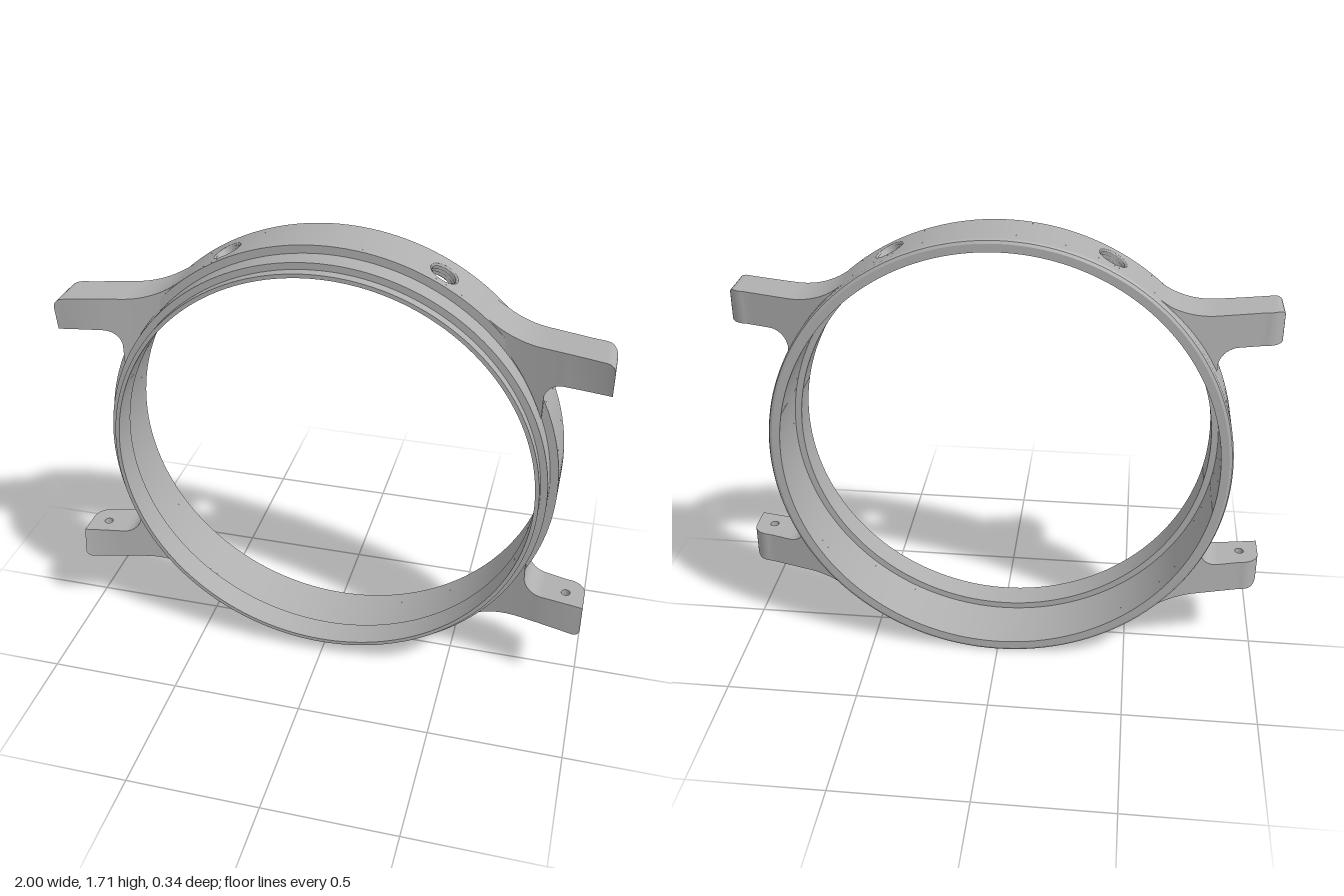
import * as THREE from 'three';
import { mergeGeometries } from 'three/addons/utils/BufferGeometryUtils.js';

const CENTRE_Y = 0.855;
const R_OUT = 0.855, R_IN = 0.81;          // walls of the main band
const HOLE = { angle: 0.474, z: -0.04, r: 0.055, halfZ: 0.07, halfAngle: 0.085 };

// Smooth surface from a rule fn(i, j) -> [x, y, z]
function grid(nu, nv, fn) {
  const pos = [], index = [];
  for (let i = 0; i <= nu; i++) for (let j = 0; j <= nv; j++) pos.push(...fn(i, j));
  for (let i = 0; i < nu; i++) for (let j = 0; j < nv; j++) {
    const a = i * (nv + 1) + j, b = a + nv + 1;
    index.push(a, b, a + 1, b, b + 1, a + 1);
  }
  const g = new THREE.BufferGeometry();
  g.setAttribute('position', new THREE.Float32BufferAttribute(pos, 3));
  g.setIndex(index);
  g.computeVertexNormals();
  return g;
}

function merge(list) {
  list.forEach(g => g.deleteAttribute('uv'));
  return mergeGeometries(list);
}

// Turned ring around z, with a sharp edge at every profile point
function turned(profile, start = 0, length = Math.PI * 2) {
  const parts = [];
  const segments = Math.max(8, Math.round(160 * length / (Math.PI * 2)));
  for (let i = 0; i + 1 < profile.length; i++) {
    const pts = [profile[i], profile[i + 1]].map(p => new THREE.Vector2(...p));
    parts.push(new THREE.LatheGeometry(pts, segments, start, length).rotateX(Math.PI / 2));
  }
  return merge(parts);
}

// Band wall around a screw hole: blends a circle into the patch border
function holePatch(phi, R, dir) {
  const n = 48;
  return grid(n, 3, (i, j) => {
    const th = dir * (i / n) * Math.PI * 2, c = Math.cos(th), s = Math.sin(th);
    const m = Math.max(Math.abs(c), Math.abs(s)), t = j / 3;
    const a = phi + THREE.MathUtils.lerp(Math.asin(HOLE.r * c / R), HOLE.halfAngle * c / m, t);
    const z = HOLE.z + THREE.MathUtils.lerp(HOLE.r * s, HOLE.halfZ * s / m, t);
    return [R * Math.sin(a), -R * Math.cos(a), z];
  });
}

// Threaded bore through the band
function threadedBore(phi) {
  const n = 32, steps = 8;
  return grid(n, steps, (i, j) => {
    const th = (i / n) * Math.PI * 2, r = j % 2 ? 0.046 : HOLE.r;
    const u = r * Math.cos(th);
    const h = THREE.MathUtils.lerp(Math.sqrt(R_OUT ** 2 - u * u), Math.sqrt(R_IN ** 2 - u * u), j / steps);
    return [
      h * Math.sin(phi) + u * Math.cos(phi),
      -h * Math.cos(phi) + u * Math.sin(phi),
      HOLE.z + r * Math.sin(th)
    ];
  });
}

// ---- Lug outline, as functions of x ----
const bump = t => 1 - Math.sqrt(Math.max(0, 1 - t * t));
const yHigh = x => {
  if (x < 0.76) return 0.913 - Math.sqrt(0.333 ** 2 - (0.76 - x) ** 2);   // long outer fillet
  return x > 0.97 ? 0.58 - 0.03 * bump((x - 0.97) / 0.03) : 0.58;
};
const yLow = x => {
  if (x < 0.771) return Math.sqrt(0.83 ** 2 - x * x);                     // buried in the band
  if (x < 0.841) return 0.385 + Math.sqrt(Math.max(0, 0.07 ** 2 - (0.841 - x) ** 2));
  return 0.455;
};
const zBack = x => {
  if (x < 0.6) return -0.13;
  const z = -0.13 + 0.283 * (Math.min(x, 0.93) - 0.6);
  return x > 0.93 ? z + 0.065 * bump((x - 0.93) / 0.07) : z;
};
const zFront = x => 0.04 + 0.1 * Math.max(0, (x - 0.547) / 0.453) ** 1.3;
const zFrontInner = x => zFront(x) - 0.015 * Math.max(0, (x - 0.841) / 0.159);

function lugGeometry() {
  const xs = [];
  for (let i = 0; i <= 14; i++) xs.push(0.547 + (0.7705 - 0.547) * i / 14);
  for (let i = 0; i <= 10; i++) xs.push(0.841 - 0.07 * Math.cos(i / 10 * Math.PI / 2));
  const inner = xs.length - 1;
  for (let i = 1; i <= 4; i++) xs.push(0.841 + 0.089 * i / 4);
  for (let i = 1; i <= 10; i++) xs.push(0.93 + 0.07 * Math.sin(i / 10 * Math.PI / 2));
  const n = xs.length - 1;
  const corner = [
    x => [x, yHigh(x), zFront(x)],
    x => [x, yHigh(x), zBack(x)],
    x => [x, yLow(x), zBack(x)],
    x => [x, yLow(x), zFrontInner(x)]
  ];
  const strip = (a, b, count = n) => grid(count, 1, (i, j) => corner[j ? b : a](xs[i]));
  const cap = grid(1, 1, (i, j) => corner[i ? (j ? 0 : 1) : (j ? 3 : 2)](1));

  // Flat inner side with a blind hole for the strap pin
  const flat = xs.slice(inner);
  const side = new THREE.Shape([
    ...flat.map(x => new THREE.Vector2(x, zBack(x))),
    ...flat.slice().reverse().map(x => new THREE.Vector2(x, zFrontInner(x)))
  ]);
  const pin = new THREE.Path();
  pin.absarc(0.93, 0.045, 0.017, 0, Math.PI * 2, true);
  side.holes.push(pin);
  const sideFace = new THREE.ShapeGeometry(side, 10).rotateX(Math.PI / 2).translate(0, 0.455, 0);
  const pinWall = new THREE.CylinderGeometry(0.017, 0.017, 0.05, 20, 1, true).translate(0.93, 0.48, 0.045);
  const pinEnd = new THREE.CircleGeometry(0.017, 20).rotateX(Math.PI / 2).translate(0.93, 0.505, 0.045);

  return merge([strip(0, 1), strip(1, 2), strip(2, 3, inner), strip(3, 0), cap, sideFace, pinWall, pinEnd]);
}

// Mirrored copy that keeps faces pointing outwards
function mirrored(geometry, sx, sy) {
  const g = geometry.clone().scale(sx, sy, 1);
  if (sx * sy < 0) {
    const idx = g.index.array;
    for (let i = 0; i < idx.length; i += 3) [idx[i], idx[i + 1]] = [idx[i + 1], idx[i]];
  }
  return g;
}

export function createModel() {
  const model = new THREE.Group();
  model.name = 'watchCase';
  const metal = new THREE.MeshStandardMaterial({ color: 0xb0b0b0, side: THREE.DoubleSide });
  metal.name = 'grey metal';

  const add = (name, geometry) => {
    const mesh = new THREE.Mesh(geometry, metal);
    mesh.name = name;
    mesh.position.y = CENTRE_Y;
    model.add(mesh);
  };

  // Stepped front rim and rounded back rim
  const z0 = HOLE.z - HOLE.halfZ, z1 = HOLE.z + HOLE.halfZ;
  add('frontRim', turned([
    [R_OUT, z1], [R_OUT, 0.05], [0.825, 0.05], [0.825, 0.13], [0.80, 0.13],
    [0.80, 0.168], [0.785, 0.168], [0.785, 0.06], [R_IN, 0.06], [R_IN, z1]
  ]));
  add('backRim', turned([
    [R_IN, z0], [R_IN, -0.168], [0.84, -0.168], [0.85, -0.163], [R_OUT, -0.153], [R_OUT, z0]
  ]));

  // Band walls, leaving room for the two screw holes at the top
  const { angle, halfAngle } = HOLE, PI = Math.PI;
  const arcs = [
    [PI + angle + halfAngle, 2 * (PI - angle - halfAngle)],
    [PI - angle + halfAngle, 2 * (angle - halfAngle)]
  ];
  const walls = [];
  for (const [start, length] of arcs) {
    walls.push(turned([[R_OUT, z0], [R_OUT, z1]], start, length));
    walls.push(turned([[R_IN, z1], [R_IN, z0]], start, length));
  }
  add('band', merge(walls));

  for (const s of [-1, 1]) {
    const phi = PI + s * angle;
    add(s > 0 ? 'rightScrewHole' : 'leftScrewHole',
      merge([holePatch(phi, R_OUT, -1), holePatch(phi, R_IN, 1), threadedBore(phi)]));
  }

  // Four strap lugs
  const lug = lugGeometry();
  for (const sx of [1, -1]) for (const sy of [1, -1]) {
    add((sy > 0 ? 'upper' : 'lower') + (sx > 0 ? 'Left' : 'Right') + 'Lug', mirrored(lug, sx, sy));
  }
  return model;
}
